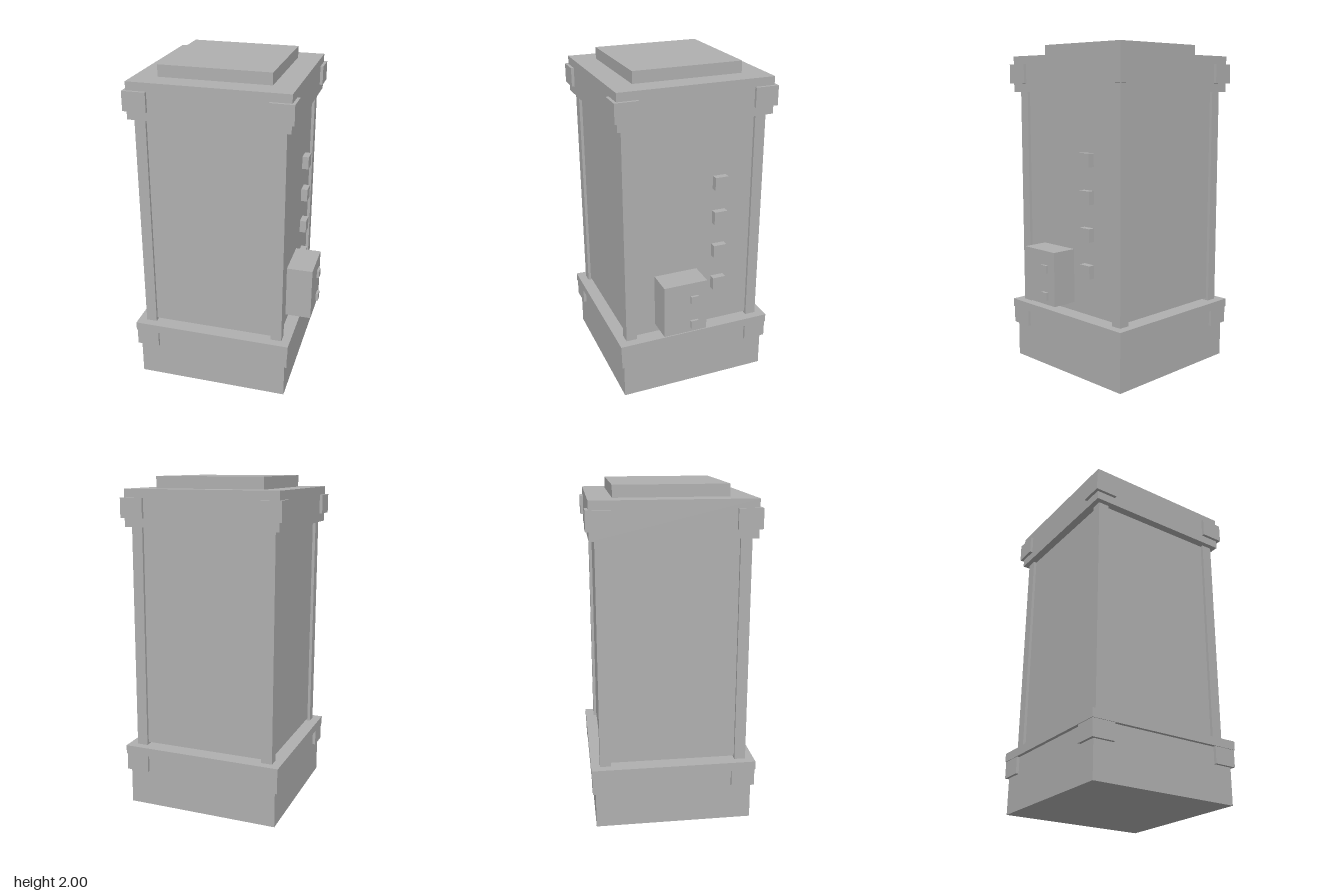
import * as THREE from 'three';

const CX = -0.052; // centre of the cabinet; the control box fills out the +x side

export function createModel() {
  const model = new THREE.Group();
  const grey = new THREE.MeshStandardMaterial({ color: 0xb0b0b0 });
  grey.name = 'plain grey';

  // Box given by its lower and upper limits on each axis
  function box(name, [x0, x1], [y0, y1], [z0, z1], parent = model) {
    const mesh = new THREE.Mesh(new THREE.BoxGeometry(x1 - x0, y1 - y0, z1 - z0), grey);
    mesh.name = name;
    mesh.position.set((x0 + x1) / 2, (y0 + y1) / 2, (z0 + z1) / 2);
    parent.add(mesh);
    return mesh;
  }

  // Square slab centred on the cabinet axis
  const slab = (name, half, y0, y1) =>
    box(name, [CX - half, CX + half], [y0, y1], [-half, half]);

  // Four square posts, one at each corner, with their outer faces at "outer"
  function corners(name, outer, size, y0, y1) {
    const group = new THREE.Group();
    group.name = name + 's';
    const span = (s, c) => (s > 0 ? [c + outer - size, c + outer] : [c - outer, c - outer + size]);
    for (const sx of [-1, 1]) {
      for (const sz of [-1, 1]) box(name, span(sx, CX), [y0, y1], span(sz, 0), group);
    }
    model.add(group);
  }

  // Base and ledge
  slab('base', 0.468, 0, 0.33);
  slab('ledge', 0.49, 0.323, 0.375);
  corners('baseCornerBracket', 0.486, 0.14, 0.22, 0.36);

  // Body, hung between the corner pillars just above the ledge
  slab('body', 0.42, 0.39, 1.72);
  corners('cornerPillar', 0.438, 0.066, 0.37, 1.72);

  // Lid
  slab('lid', 0.468, 1.713, 1.93);
  slab('topPlate', 0.33, 1.92, 2);
  corners('lidCornerBracket', 0.486, 0.14, 1.765, 1.88);

  // Column of buttons on the +x side
  const face = CX + 0.41;
  for (const y of [0.664, 0.885, 1.106, 1.325]) {
    box('sideButton', [face, 0.408], [y - 0.04, y + 0.04], [-0.204, -0.123]);
  }

  // Control box with its mounting bracket and two knobs
  box('controlBox', [face, 0.526], [0.445, 0.775], [-0.027, 0.246]);
  box('controlBoxBracket', [face, 0.411], [0.42, 0.46], [0.031, 0.195]);
  for (const y of [0.498, 0.665]) {
    box('controlKnob', [0.52, 0.541], [y - 0.024, y + 0.024], [0.031, 0.079]);
  }

  return model;
}
